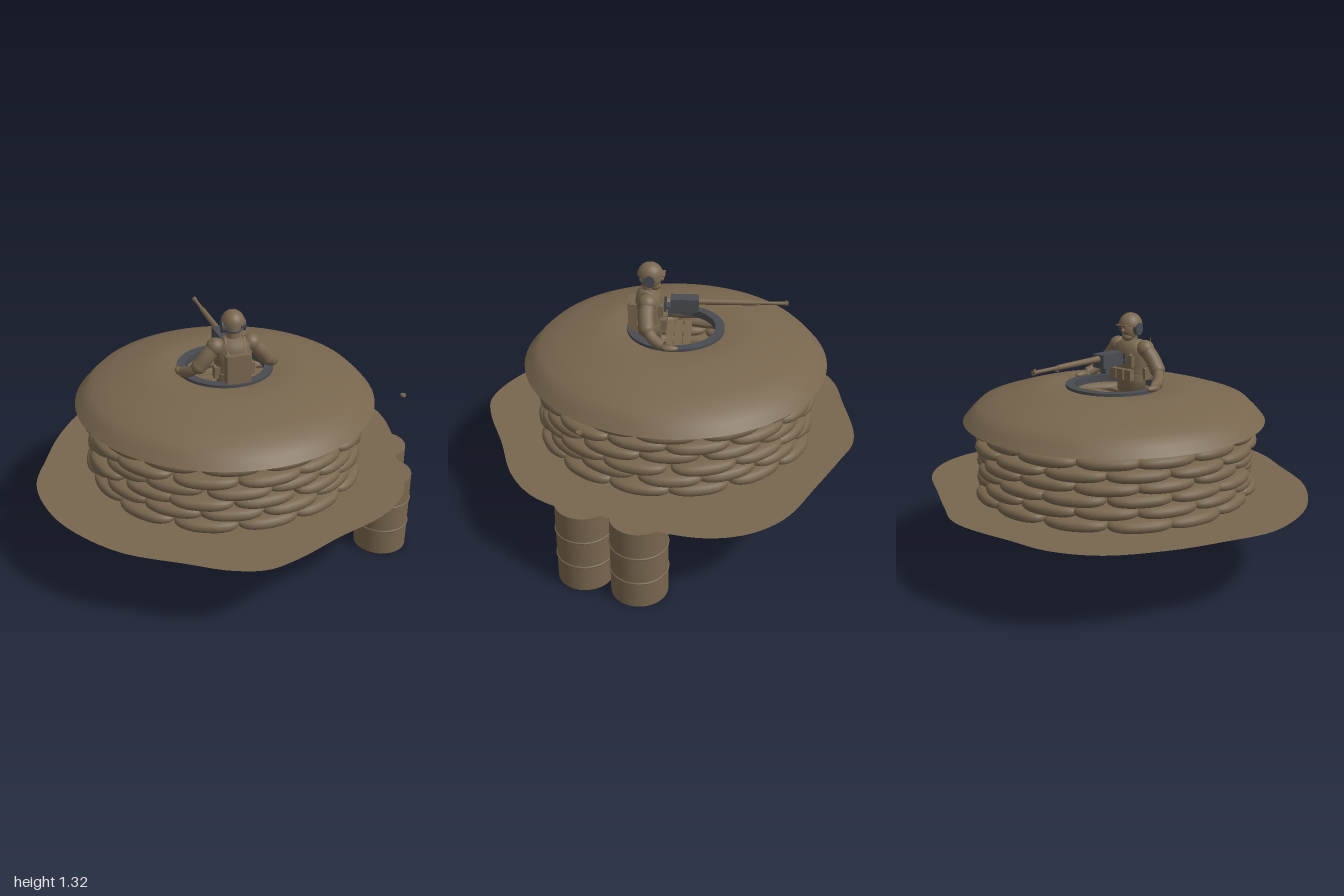
import * as THREE from 'three';

const tan = new THREE.MeshStandardMaterial({ color: 0x78664e, side: THREE.DoubleSide });
tan.name = 'earthBrown';
const metal = new THREE.MeshStandardMaterial({ color: 0x484b50, side: THREE.DoubleSide });
metal.name = 'gunMetal';

const CZ = -0.043; // centre of the bunker in z

function add(parent, name, geo, mat, x = 0, y = 0, z = 0) {
  const m = new THREE.Mesh(geo, mat);
  m.name = name;
  m.position.set(x, y, z);
  parent.add(m);
  return m;
}
const box = (w, h, d) => new THREE.BoxGeometry(w, h, d);
const ball = (a, b, c) => new THREE.SphereGeometry(1, 24, 16).scale(a, b, c);
const rod = (r0, r1, len) => new THREE.CylinderGeometry(r1, r0, len, 20).rotateX(-Math.PI / 2); // r1 end faces -z
const lathe = (pts, n = 64) => new THREE.LatheGeometry(pts.map(p => new THREE.Vector2(...p)), n);
const tube = (pts, r) => new THREE.TubeGeometry(
  new THREE.CatmullRomCurve3(pts.map(p => new THREE.Vector3(...p))), 16, r, 12);

let seed = 7;
function rnd() {
  seed = (seed * 16807) % 2147483647;
  return seed / 2147483647 - 0.5;
}

// rounded bag bent along the wall's arc
function sandbag(radius, half) {
  const g = new THREE.SphereGeometry(1, 20, 14);
  const p = g.attributes.position;
  const s = (v, e) => Math.sign(v) * Math.abs(v) ** e;
  for (let i = 0; i < p.count; i++) {
    const a = s(p.getY(i), 0.8) * half;
    const r = radius + s(p.getX(i), 0.75) * 0.078;
    p.setXYZ(i, r * Math.sin(a), s(p.getZ(i), 0.75) * 0.034, r * Math.cos(a));
  }
  g.computeVertexNormals();
  return g;
}

function buildGround(root) {
  const outline = [[0.09, -0.97], [-0.19, -0.94], [-0.4, -0.91], [-0.61, -0.79], [-0.8, -0.53], [-0.91, -0.29],
    [-0.99, -0.08], [-0.99, 0.11], [-0.92, 0.35], [-0.72, 0.63], [-0.45, 0.81], [-0.27, 0.92], [-0.11, 0.965],
    [0.05, 0.93], [0.29, 0.83], [0.56, 0.73], [0.72, 0.61], [0.81, 0.46], [0.87, 0.24], [0.96, 0],
    [0.995, -0.24], [0.95, -0.43], [0.83, -0.59], [0.59, -0.74], [0.35, -0.88], [0.22, -0.95]];
  const curve = new THREE.CatmullRomCurve3(outline.map(([x, z]) => new THREE.Vector3(x, z, 0)), true);
  const shape = new THREE.Shape(curve.getPoints(120).map(p => new THREE.Vector2(p.x, p.y)));
  add(root, 'groundPatch', new THREE.ShapeGeometry(shape).rotateX(Math.PI / 2), tan, 0, 0.43, 0);
}

function buildBunker(root) {
  const wall = new THREE.Group();
  wall.name = 'sandbagWall';
  wall.position.z = CZ;
  root.add(wall);
  const n = 14;
  const geo = sandbag(0.64, Math.PI / n * 1.06);
  for (let row = 0; row < 7; row++) {
    for (let i = 0; i < n; i++) {
      const b = add(wall, 'sandbag', geo, tan, 0, 0.452 + row * 0.06 + rnd() * 0.006, 0);
      b.rotation.y = (i + (row % 2) / 2 + rnd() * 0.15) * 2 * Math.PI / n;
      b.scale.setScalar(1);
      b.scale.x = b.scale.z = 1 + rnd() * 0.03 - (row % 2) * 0.01;
    }
  }
  // shallow earth roof with a round hatch
  add(root, 'roof', lathe([[0.766, 0.8], [0.73, 0.842], [0.685, 0.885], [0.59, 0.915], [0.5, 0.94], [0.4, 0.963],
    [0.32, 0.966], [0.22, 0.955]], 80), tan, 0.005, 0, CZ);
  const ring = lathe([[0.2, 0.935], [0.245, 0.935], [0.245, 0.972], [0.2, 0.972], [0.2, 0.935]])
    .toNonIndexed();
  ring.computeVertexNormals();
  add(root, 'hatchRing', ring, metal, 0.005, 0, CZ);
  for (let i = 0; i < 3; i++) add(root, 'hatchPlank', box(0.38, 0.015, 0.04), tan, 0, 0.9, -0.1 + i * 0.045);
}

function buildDrums(root) {
  for (const [x, z] of [[0.752, 0.352], [0.85, 0.085]]) {
    const drum = new THREE.Group();
    drum.name = 'drum';
    drum.position.set(x, 0, z);
    root.add(drum);
    add(drum, 'drumBody', new THREE.CylinderGeometry(0.137, 0.137, 0.427, 40), tan, 0, 0.2135, 0);
    for (const y of [0.14, 0.285]) {
      add(drum, 'drumRib', new THREE.TorusGeometry(0.137, 0.005, 8, 40).rotateX(Math.PI / 2), tan, 0, y, 0);
    }
  }
  add(root, 'looseCap', new THREE.CylinderGeometry(0.014, 0.014, 0.01, 16), tan, 0.822, 0.857, 0.345);
}

function buildGunner(root) {
  const g = new THREE.Group();
  g.name = 'gunner';
  g.position.x = 0.006;
  root.add(g);
  // head, helmet and ear protection
  add(g, 'head', ball(0.042, 0.058, 0.05), tan, 0, 1.235, 0.078);
  add(g, 'nose', ball(0.008, 0.012, 0.012), tan, 0, 1.23, 0.028);
  add(g, 'jaw', ball(0.03, 0.025, 0.035), tan, 0, 1.197, 0.065);
  add(g, 'neck', new THREE.CylinderGeometry(0.03, 0.036, 0.07, 16), tan, 0, 1.18, 0.09);
  add(g, 'helmet', new THREE.SphereGeometry(1, 28, 10, 0, Math.PI * 2, 0, Math.PI / 2).scale(0.059, 0.065, 0.064),
    tan, 0, 1.252, 0.083);
  add(g, 'helmetBrim', box(0.07, 0.006, 0.022), tan, 0, 1.258, 0.02);
  for (const s of [-1, 1]) {
    add(g, 'earCup', new THREE.CylinderGeometry(0.026, 0.026, 0.026, 16).rotateZ(Math.PI / 2).scale(1, 1.2, 1),
      metal, s * 0.047, 1.238, 0.085);
  }
  add(g, 'headBand', new THREE.TorusGeometry(0.048, 0.006, 8, 20, Math.PI).rotateX(Math.PI / 2),
    metal, 0, 1.225, 0.085);
  // torso and webbing
  add(g, 'torso', lathe([[0, 0.9], [0.082, 0.9], [0.085, 0.98], [0.092, 1.06], [0.1, 1.11], [0.09, 1.155],
    [0.05, 1.18], [0, 1.185]], 28).scale(1, 1, 0.68), tan, 0, 0, 0.09);
  add(g, 'belt', new THREE.CylinderGeometry(0.094, 0.094, 0.03, 28).scale(1, 1, 0.75), tan, 0, 0.99, 0.09);
  add(g, 'backpack', box(0.125, 0.145, 0.045), tan, 0, 1.043, 0.168);
  add(g, 'packFlap', box(0.115, 0.04, 0.012), tan, 0, 1.1, 0.187);
  add(g, 'chestRig', box(0.13, 0.06, 0.025), tan, 0, 1.08, 0.03);
  for (const x of [-0.05, 0, 0.05]) add(g, 'frontPouch', box(0.042, 0.055, 0.03), tan, x, 1.01, 0.015);
  add(g, 'antenna', new THREE.CylinderGeometry(0.0025, 0.0025, 0.09, 6), tan, -0.112, 1.152, 0.11);
  // arms, legs and boots
  for (const s of [-1, 1]) {
    add(g, 'sidePouch', box(0.028, 0.06, 0.045), tan, s * 0.09, 1.01, 0.1);
    add(g, 'shoulder', ball(0.046, 0.045, 0.046), tan, s * 0.092, 1.14, 0.092);
    add(g, 'strap', tube([[s * 0.045, 1.1, 0.155], [s * 0.048, 1.178, 0.1], [s * 0.045, 1.1, 0.025]], 0.009), tan);
    add(g, 'upperArm', tube([[s * 0.095, 1.14, 0.092], [s * 0.14, 1.09, 0.096], [s * 0.175, 1.045, 0.09]], 0.039), tan);
    add(g, 'elbow', ball(0.039, 0.039, 0.039), tan, s * 0.175, 1.045, 0.09);
    add(g, 'forearm', tube([[s * 0.175, 1.045, 0.09], [s * 0.21, 1.01, 0.06], [s * 0.237, 0.985, 0.01]], 0.028), tan);
    add(g, 'hand', ball(0.02, 0.016, 0.042), tan, s * 0.246, 0.978, -0.025);
    add(g, 'leg', new THREE.CylinderGeometry(0.055, 0.035, 0.45, 16), tan, s * 0.055, 0.69, 0.085);
    const boot = add(g, 'boot', ball(0.03, 0.04, 0.06), metal, s * 0.07, 0.456, 0.065);
    boot.rotation.y = -s * 0.2;
  }
}

function buildGun(root) {
  const gun = new THREE.Group();
  gun.name = 'machineGun';
  gun.position.x = 0.006;
  root.add(gun);
  add(gun, 'receiver', box(0.07, 0.068, 0.14), metal, 0, 1.1, -0.087);
  add(gun, 'feedBlock', box(0.035, 0.035, 0.032), metal, 0, 1.05, -0.108);
  add(gun, 'barrelJacket', rod(0.016, 0.013, 0.29), tan, 0, 1.112, -0.295);
  add(gun, 'barrel', rod(0.009, 0.009, 0.16), tan, 0, 1.112, -0.51);
  add(gun, 'muzzle', rod(0.009, 0.013, 0.025), tan, 0, 1.112, -0.585);
  add(gun, 'frontSight', box(0.006, 0.012, 0.01), tan, 0, 1.122, -0.585);
  // rear spade grips
  add(gun, 'gripBar', box(0.06, 0.012, 0.03), metal, 0, 1.085, -0.005);
  for (const s of [-1, 1]) add(gun, 'grip', box(0.012, 0.05, 0.012), metal, s * 0.028, 1.095, 0.008);
}

export function createModel() {
  const root = new THREE.Group();
  root.name = 'sandbagBunker';
  buildGround(root);
  buildBunker(root);
  buildDrums(root);
  buildGunner(root);
  buildGun(root);
  return root;
}
